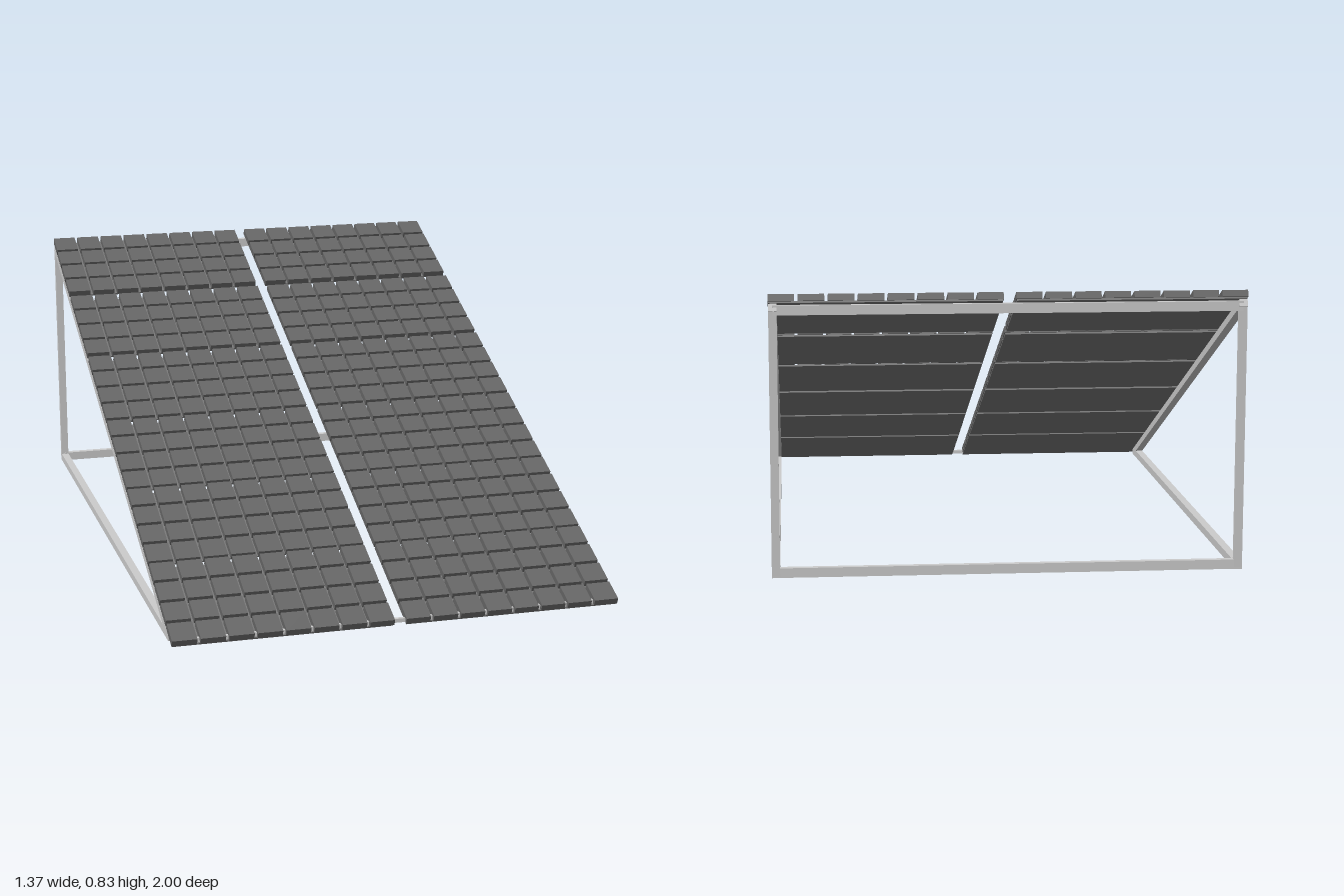
import * as THREE from 'three';
import { mergeGeometries } from 'three/addons/utils/BufferGeometryUtils.js';

const TILT = 0.386, COS = Math.cos(TILT), SIN = Math.sin(TILT);
const LENGTH = 2.1485, THICK = 0.025, PLATE = 0.005;
const FRONT_Z = 1 - THICK * SIN;

const frameMat = new THREE.MeshStandardMaterial({ color: 0xcccccc });
const plateMat = new THREE.MeshStandardMaterial({ color: 0x777777 });
const cellMat = new THREE.MeshStandardMaterial({ color: 0x666666 });

// Square bar from a to b; w is across, h is upright
function bar(name, a, b, w, h) {
  const from = new THREE.Vector3(...a), to = new THREE.Vector3(...b);
  const mesh = new THREE.Mesh(new THREE.BoxGeometry(w, h, from.distanceTo(to)), frameMat);
  mesh.position.copy(from).add(to).multiplyScalar(0.5);
  mesh.lookAt(to);
  mesh.name = name;
  return mesh;
}

// Grid of raised cells, 8 across and 4 along the slope
function cellGrid(width, length) {
  const cols = 8, rows = 4, gapX = 0.01, gapZ = 0.012;
  const w = (width - gapX * (cols - 1)) / cols;
  const l = (length - gapZ * (rows - 1)) / rows;
  const h = THICK - PLATE;
  const boxes = [];
  for (let c = 0; c < cols; c++) {
    for (let r = 0; r < rows; r++) {
      boxes.push(new THREE.BoxGeometry(w, h, l).translate(
        -width / 2 + w / 2 + c * (w + gapX),
        PLATE + h / 2,
        -length / 2 + l / 2 + r * (l + gapZ)));
    }
  }
  return mergeGeometries(boxes);
}

export function createModel() {
  const model = new THREE.Group();
  model.name = 'solarArray';

  // Sloped deck: local -z climbs towards the back
  const deck = new THREE.Group();
  deck.name = 'slopedDeck';
  deck.position.z = FRONT_Z;
  deck.rotation.x = TILT;
  model.add(deck);

  // Two columns of six panels; the gaps widen up the slope
  const gaps = [0.009, 0.01, 0.013, 0.019, 0.028];
  const panelL = (LENGTH - gaps.reduce((a, b) => a + b, 0)) / 6;
  const inner = 0.018, outer = 0.685, panelW = outer - inner;
  const cells = cellGrid(panelW, panelL);
  const plate = new THREE.BoxGeometry(panelW - 0.004, PLATE, panelL - 0.008)
    .translate(0, PLATE / 2, 0);
  let s = 0;
  for (let row = 0; row < 6; row++) {
    for (const side of [-1, 1]) {
      const panel = new THREE.Group();
      panel.name = 'panel';
      const back = new THREE.Mesh(plate, plateMat);
      back.name = 'backPlate';
      const face = new THREE.Mesh(cells, cellMat);
      face.name = 'cells';
      panel.add(back, face);
      panel.position.set(side * (inner + outer) / 2, 0, -(s + panelL / 2));
      deck.add(panel);
    }
    s += panelL + (gaps[row] || 0);
  }

  // Side frames: sloped rail, floor rail and rear post
  const frame = new THREE.Group();
  frame.name = 'frame';
  model.add(frame);
  const railX = 0.672;
  for (const x of [-railX, railX]) {
    const rail = new THREE.Mesh(new THREE.BoxGeometry(0.024, 0.022, LENGTH - 0.07), frameMat);
    rail.name = 'slopedRail';
    rail.position.set(x, -0.011, -(LENGTH + 0.05) / 2);
    deck.add(rail);
    frame.add(bar('floorRail', [x, 0.015, 0.94], [x, 0.023, -0.978], 0.024, 0.024));
    frame.add(bar('rearPost', [x, 0.015, -0.969], [x, 0.795, -0.985], 0.024, 0.018));
  }

  // Cross bars joining both sides
  frame.add(bar('rearFloorBar', [-railX, 0.025, -0.967], [railX, 0.025, -0.967], 0.02, 0.028));
  frame.add(bar('rearTopBar', [-railX, 0.786, -0.984], [railX, 0.786, -0.984], 0.022, 0.028));
  frame.add(bar('frontBar', [-railX, 0.014, 0.978], [railX, 0.014, 0.978], 0.012, 0.012));
  return model;
}
